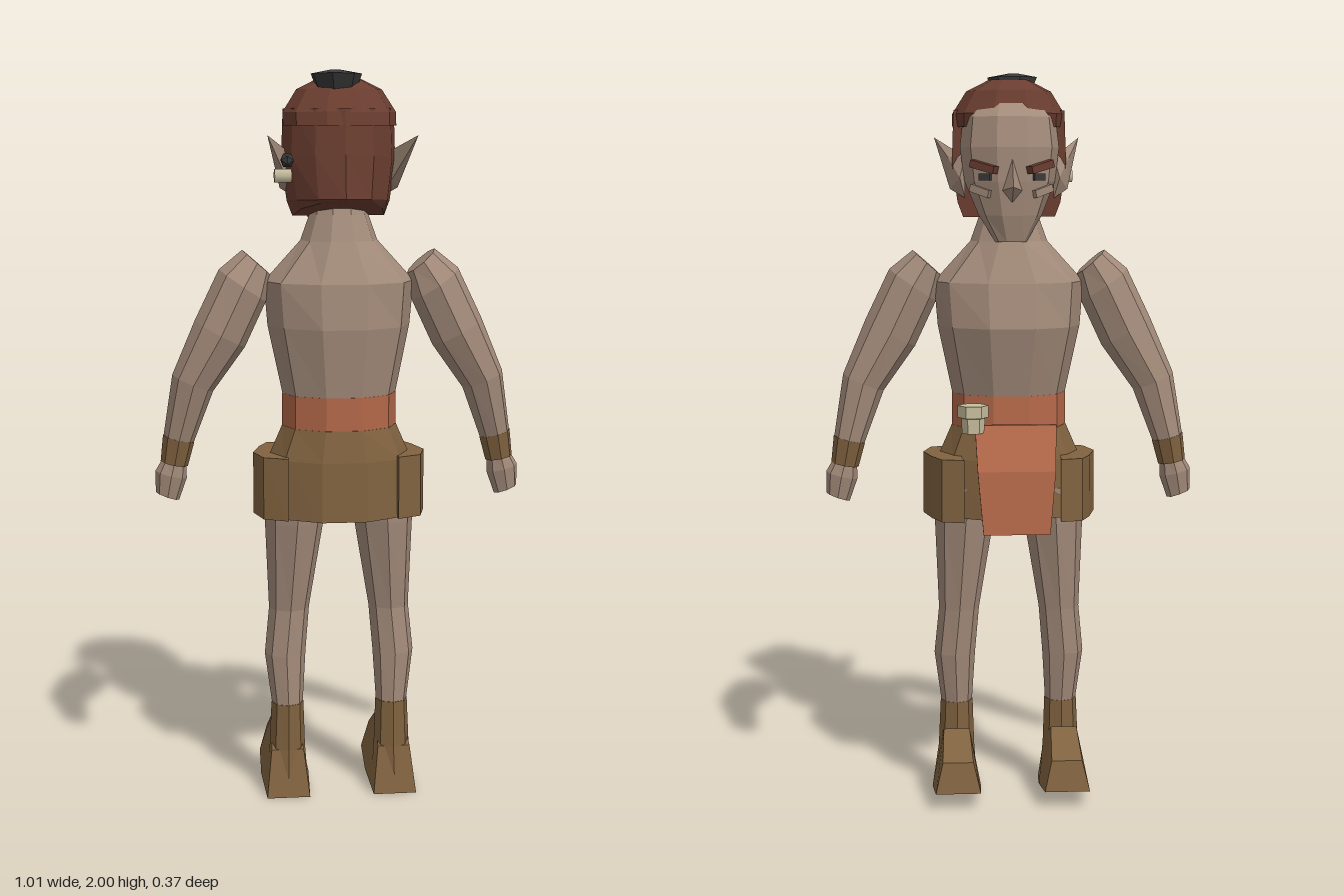
import * as THREE from 'three';
import { ConvexGeometry } from 'three/addons/geometries/ConvexGeometry.js';

const material = (name, color) => {
  const m = new THREE.MeshStandardMaterial({ color });
  m.name = name;
  return m;
};

// Faceted loft through rings listed from top to bottom: [x, y, z, halfWidth, halfDepth, tilt, backRise]
function loft(rings, sides = 8, arc = Math.PI * 2) {
  const count = arc < 6 ? sides + 1 : sides;
  const pts = rings.map(([x, y, z, rx, rz, tilt = 0, rise = 0]) =>
    Array.from({ length: count }, (_, i) => {
      const t = (arc * i) / sides, u = rx * Math.cos(t);
      return [x + u * Math.cos(tilt), y + u * Math.sin(tilt) + rise * Math.sin(t), z + rz * Math.sin(t)];
    }));
  const out = [];
  const tri = (a, b, c) => out.push(...a, ...b, ...c);
  const last = rings.length - 1;
  for (let i = 0; i < count; i++) {
    const j = (i + 1) % count;
    for (let r = 0; r < last; r++) {
      tri(pts[r][i], pts[r][j], pts[r + 1][i]);
      tri(pts[r][j], pts[r + 1][j], pts[r + 1][i]);
    }
    tri(rings[0].slice(0, 3), pts[0][j], pts[0][i]);
    tri(rings[last].slice(0, 3), pts[last][i], pts[last][j]);
  }
  const g = new THREE.BufferGeometry();
  g.setAttribute('position', new THREE.Float32BufferAttribute(out, 3));
  g.computeVertexNormals();
  return g;
}

const hull = (points) => new ConvexGeometry(points.map((p) => new THREE.Vector3(...p)));

export function createModel() {
  const skin = material('skin', 0xa38b7a);
  const leather = material('leather', 0x80623f);
  const hair = material('hair', 0x6a3d30);
  const cloth = material('cloth', 0xb4694a);
  const black = material('black', 0x3a3a3a);
  const bone = material('bone', 0xc8bf9f);

  const model = new THREE.Group();
  const add = (name, geometry, mat, parent = model) => {
    const mesh = new THREE.Mesh(geometry, mat);
    mesh.name = name;
    parent.add(mesh);
    return mesh;
  };

  // Torso, waist sash and skirt
  add('torso', loft([
    [0, 1.7, -0.01, 0.07, 0.075], [0, 1.62, 0.01, 0.08, 0.082], [0, 1.55, 0.01, 0.105, 0.108],
    [0, 1.44, 0.013, 0.205, 0.152], [0, 1.32, 0.007, 0.195, 0.167], [0, 1.13, 0.018, 0.155, 0.128],
  ], 10), skin);
  add('sash', loft([[0, 1.135, 0.018, 0.157, 0.13], [0, 1.04, 0.015, 0.157, 0.13]], 10), cloth);
  add('skirt', loft([
    [0, 1.045, 0.015, 0.158, 0.132], [0, 0.96, 0.017, 0.195, 0.148], [0, 0.8, 0.015, 0.2, 0.16],
  ], 10), leather);

  // Cloth hanging over the belly side of the skirt
  const panel = [[-0.12, 1.06, -0.115], [0.1, 1.06, -0.115], [-0.115, 0.94, -0.165],
    [0.095, 0.94, -0.165], [-0.1, 0.77, -0.175], [0.08, 0.77, -0.175]];
  add('hangingCloth', hull([...panel, ...panel.map(([x, y, z]) => [x, y, z - 0.012])]), cloth);

  // Bone cup tucked in the sash
  const cup = add('beltCup', loft([
    [0, 0.04, 0, 0.042, 0.042], [0, 0.008, 0, 0.042, 0.042],
    [0, 0.005, 0, 0.032, 0.032], [0, -0.035, 0, 0.03, 0.03],
  ], 6), bone);
  cup.position.set(0.105, 1.075, -0.13);

  // Skull, nose and mouth
  const head = new THREE.Group();
  head.name = 'head';
  model.add(head);
  add('skull', loft([
    [0, 1.94, 0, 0.08, 0.07], [0, 1.88, -0.012, 0.125, 0.12], [0, 1.8, -0.02, 0.134, 0.128],
    [0, 1.71, -0.03, 0.122, 0.115], [0, 1.62, -0.055, 0.085, 0.08], [0, 1.55, -0.085, 0.042, 0.032],
  ], 10), skin, head);
  add('nose', hull([
    [0, 1.77, -0.14], [-0.03, 1.685, -0.13], [0.03, 1.685, -0.13],
    [0, 1.695, -0.185], [0, 1.655, -0.135],
  ]), skin, head);

  // Hair cap, back hair and topknot
  add('hairCap', loft([
    [0, 1.98, 0.01, 0.055, 0.055], [0, 1.95, 0.018, 0.115, 0.1],
    [0, 1.89, 0.025, 0.153, 0.133], [0, 1.855, 0.035, 0.152, 0.13],
  ], 10), hair, head);
  add('backHair', loft([
    [0, 1.9, 0.0, 0.15, 0.153], [0, 1.76, -0.003, 0.155, 0.173, 0, 0.02],
    [0, 1.655, -0.003, 0.14, 0.187, 0, 0.01], [0, 1.615, -0.003, 0.125, 0.175, 0, 0.045],
  ], 6, Math.PI), hair, head);
  add('topknot', loft([
    [-0.015, 2.0, 0.06, 0.015, 0.02], [-0.015, 1.99, 0.068, 0.07, 0.07], [-0.01, 1.92, 0.055, 0.045, 0.045],
  ], 7), black, head);

  // Ring and stud on one ear
  add('earStud', new THREE.IcosahedronGeometry(0.02), black, head).position.set(-0.148, 1.765, 0.11);
  const ring = add('earRing', new THREE.CylinderGeometry(0.02, 0.02, 0.045, 6), bone, head);
  ring.position.set(-0.16, 1.725, 0.115);
  ring.rotation.z = Math.PI / 2;

  for (const s of [1, -1]) {
    const side = s > 0 ? 'left' : 'right';
    const flip = (points) => points.map(([x, y, z]) => [s * x, y, z]);

    // Face details
    const faceBar = (name, size, mat, pos, turn, roll) => {
      const m = add(name, new THREE.BoxGeometry(...size), mat, head);
      m.position.set(s * pos[0], pos[1], pos[2]);
      m.rotation.set(0, -s * turn, s * roll, 'YXZ');
    };
    faceBar(side + 'Brow', [0.075, 0.02, 0.025], hair, [0.075, 1.748, -0.132], 0.6, 0.25);
    faceBar(side + 'Eye', [0.035, 0.018, 0.009], black, [0.072, 1.722, -0.124], 0.6, 0);
    faceBar(side + 'Cheek', [0.06, 0.02, 0.02], skin, [0.082, 1.685, -0.108], 0.6, 0.3);

    // Pointed ear
    add(side + 'Ear', hull(flip([
      [0.12, 1.775, -0.02], [0.12, 1.665, -0.02], [0.135, 1.72, -0.035],
      [0.16, 1.69, 0.01], [0.165, 1.775, 0.02], [0.2, 1.83, 0.115], [0.14, 1.71, 0.03],
    ])), skin, head);

    // Arm, cuff and hand
    const arm = new THREE.Group();
    arm.name = side + 'Arm';
    model.add(arm);
    const limb = (rings) => loft(rings.map(([x, y, z, rx, rz, a = 0]) => [s * x, y, z, rx, rz, s * a]));
    add('armSkin', limb([
      [0.225, 1.492, 0.012, 0.05, 0.055, 0.72], [0.263, 1.43, 0.02, 0.077, 0.08, 0.6],
      [0.325, 1.3, 0.02, 0.077, 0.08, 0.5], [0.4, 1.165, 0.01, 0.06, 0.066, 0.4],
      [0.441, 1.005, -0.007, 0.042, 0.048, 0.25],
    ]), skin, arm);
    add('cuff', limb([
      [0.44, 1.01, -0.007, 0.044, 0.05, 0.25], [0.453, 0.94, -0.008, 0.038, 0.042, 0.2],
    ]), leather, arm);
    add('hand', limb([
      [0.453, 0.945, -0.008, 0.034, 0.036, 0.2], [0.462, 0.91, -0.008, 0.044, 0.04, 0.25],
      [0.473, 0.85, -0.008, 0.034, 0.03, 0.35],
    ]), skin, arm);

    // Leg, boot shaft and foot
    const leg = new THREE.Group();
    leg.name = side + 'Leg';
    model.add(leg);
    add('legSkin', limb([
      [0.115, 0.88, 0.01, 0.1, 0.11], [0.124, 0.78, 0.01, 0.082, 0.1], [0.14, 0.53, 0.008, 0.056, 0.06],
      [0.152, 0.4, 0.015, 0.057, 0.057], [0.147, 0.255, 0.025, 0.043, 0.046],
    ]), skin, leg);
    add('bootShaft', limb([
      [0.147, 0.26, 0.025, 0.045, 0.048], [0.148, 0.13, 0.025, 0.05, 0.05], [0.15, 0.02, 0.035, 0.06, 0.052],
    ]), leather, leg);
    const foot = [[0.095, 0, 0.06], [0.065, 0.13, 0.045], [-0.055, 0.195, 0.036],
      [-0.16, 0.13, 0.042], [-0.18, 0.048, 0.062], [-0.04, 0.025, 0.068]];
    add('foot', hull(foot.flatMap(([z, y, w]) => [[s * 0.15 + w, y, z], [s * 0.15 - w, y, z]])), leather, leg);

    // Pouch wrapping the hip
    const plan = [[0.13, -0.165], [0.19, -0.148], [0.215, -0.085], [0.237, 0.01], [0.215, 0.1], [0.15, 0.135]];
    add(side + 'HipPouch', hull(flip(plan.flatMap(([x, z]) => [[x, 0.97, z * 0.97], [x, 0.8, z]]))), leather);
  }
  return model;
}
